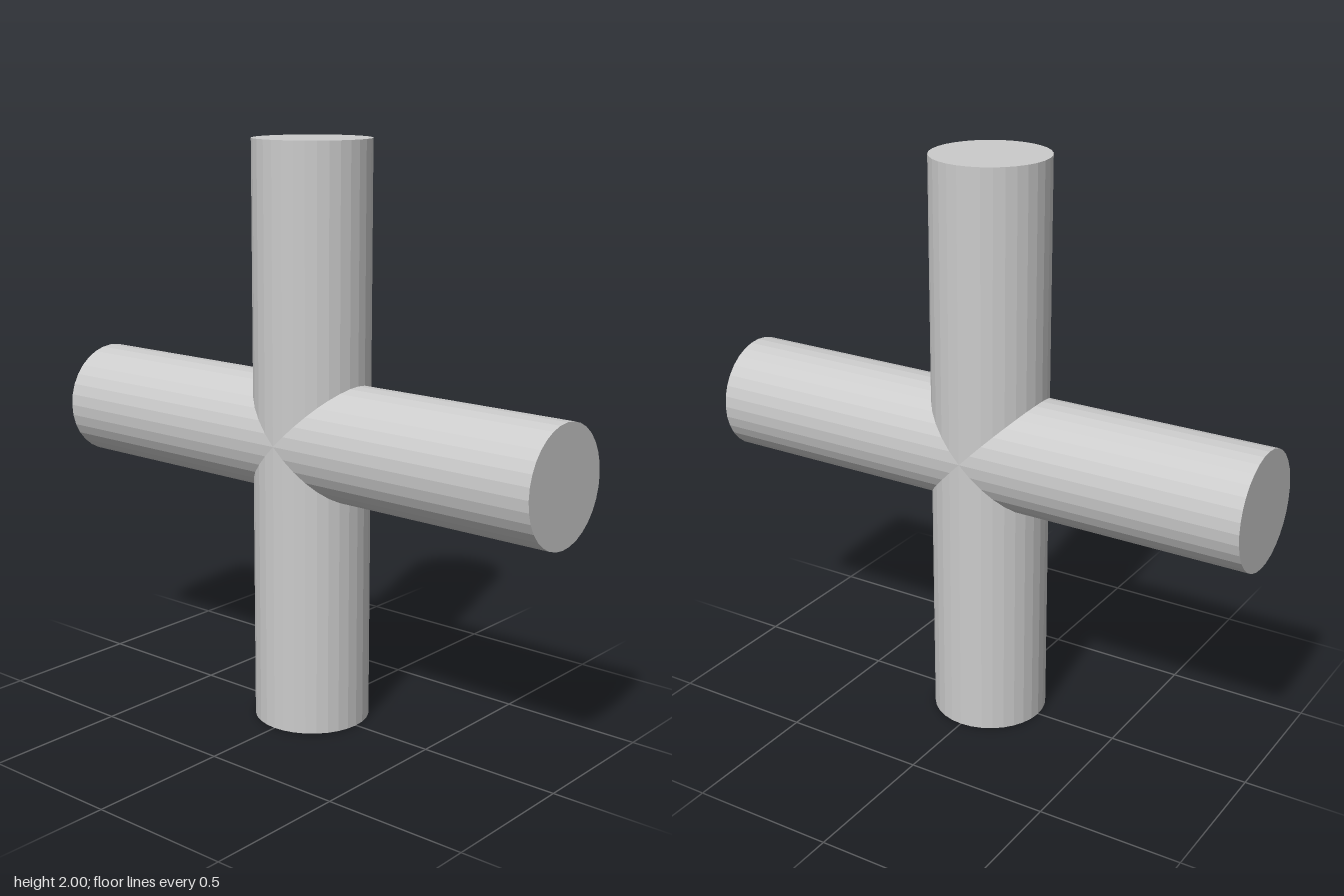
import * as THREE from 'three';

const RADIUS = 0.2;
const LENGTH = 2;
const SIDES = 32;

export function createModel() {
  const group = new THREE.Group();
  group.name = 'crossedCylinders';
  const material = new THREE.MeshStandardMaterial({ color: 0xcccccc, flatShading: true });

  // One capped bar, centred at half the height of the model
  const addBar = (name, tilt) => {
    const bar = new THREE.Mesh(new THREE.CylinderGeometry(RADIUS, RADIUS, LENGTH, SIDES), material);
    bar.name = name;
    bar.position.y = LENGTH / 2;
    bar.rotation.z = tilt;
    group.add(bar);
  };

  addBar('uprightBar', 0);
  addBar('crossBar', Math.PI / 2);

  return group;
}
